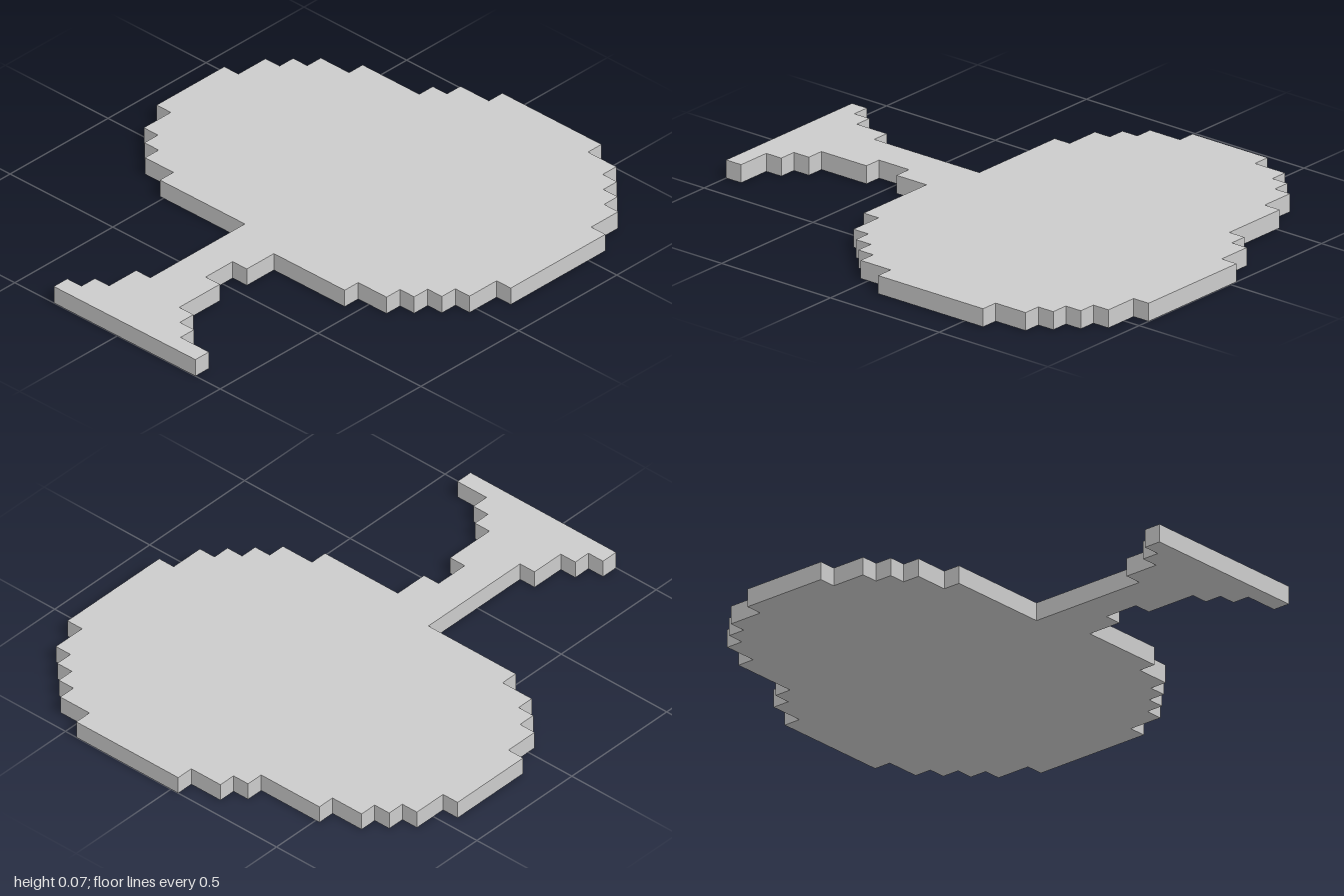
import * as THREE from 'three';

const CELL = 2 / 29; // the slab is one cell thick, 25 cells wide and 29 long
const COLS = 25, ROWS = 29;

// Stepped sides, back to front: [column of the edge, number of rows it runs]
const RIGHT_SIDE = [[12, 1], [10, 1], [9, 1], [5, 1], [3, 1], [2, 1], [1, 2], [0, 5], [1, 2],
  [2, 1], [3, 1], [5, 1], [11, 7], [10, 2], [9, 1], [8, 1]];
const LEFT_SIDE = [[19, 1], [21, 1], [22, 1], [23, 1], [24, 2], [25, 7], [24, 2],
  [23, 1], [22, 1], [21, 1], [19, 1], [14, 2], [13, 2], [14, 3], [15, 1], [16, 1], [18, 1]];

// Turns runs of cells into the corners of a staircase line
function staircase(runs) {
  const points = [];
  let row = 0;
  for (const [col, count] of runs) {
    for (const r of [row, row + count]) {
      points.push(new THREE.Vector2((col - COLS / 2) * CELL, (ROWS / 2 - r) * CELL));
    }
    row += count;
  }
  return points;
}

export function createModel() {
  const group = new THREE.Group();
  group.name = 'pixelTree';

  // Flat tree: crown, trunk and flared foot share one outline
  const outline = new THREE.Shape([...staircase(RIGHT_SIDE), ...staircase(LEFT_SIDE).reverse()]);
  const geometry = new THREE.ExtrudeGeometry(outline, { depth: CELL, bevelEnabled: false });
  geometry.rotateX(-Math.PI / 2); // lay the outline flat, thickness upward

  const slab = new THREE.Mesh(geometry, new THREE.MeshStandardMaterial({ color: 0xcccccc }));
  slab.name = 'treeSlab';
  group.add(slab);
  return group;
}
